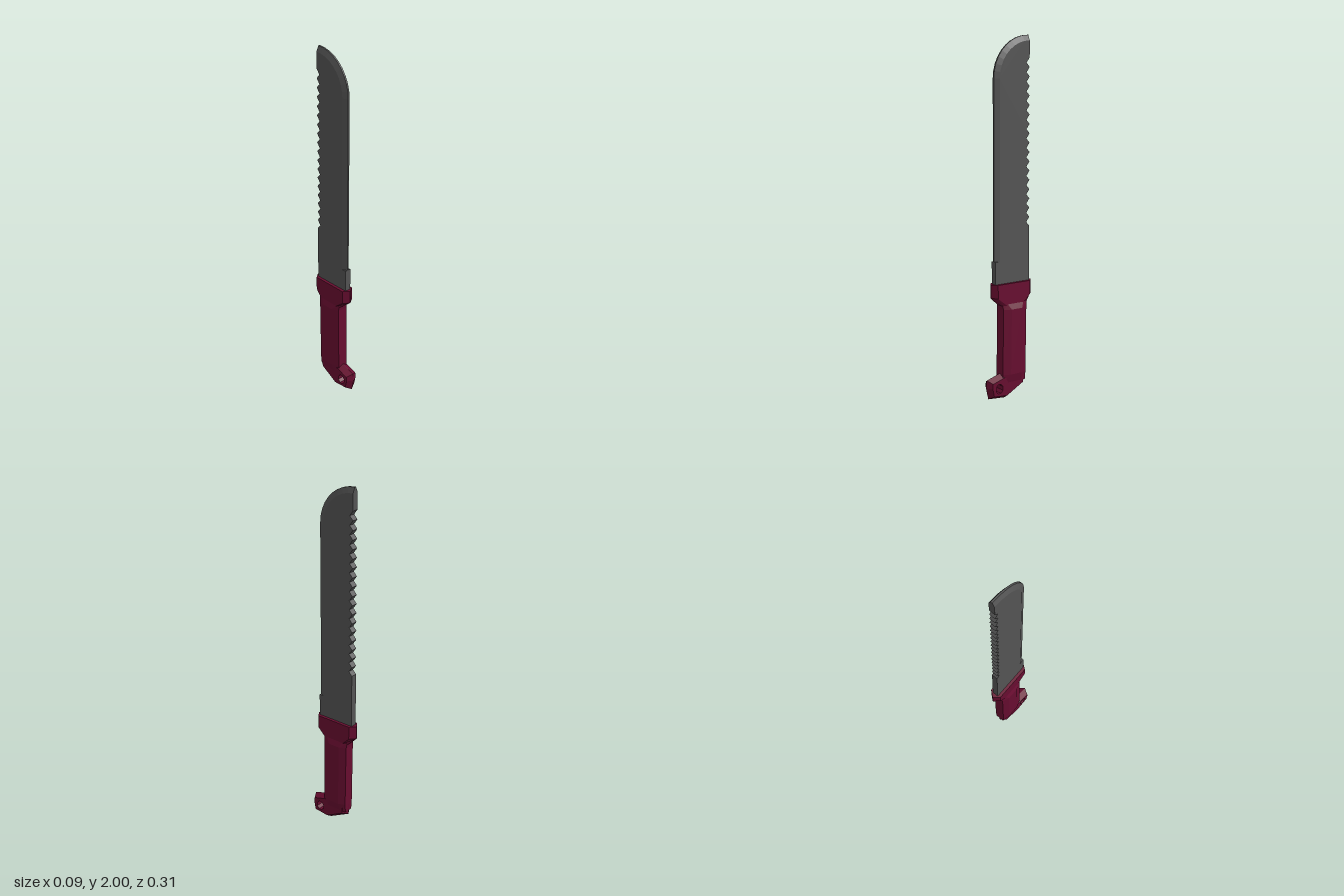
import * as THREE from 'three';

const steel = new THREE.MeshStandardMaterial({ color: 0x545454 });
steel.name = 'darkSteel';
const maroon = new THREE.MeshStandardMaterial({ color: 0x680d30 });
maroon.name = 'maroonGrip';

// Flat-shaded skin over rings of points, with fan caps at both ends
function loft(rings) {
  const pos = [];
  const tri = (...pts) => pts.forEach((p) => pos.push(...p));
  const n = rings[0].length;
  for (let i = 0; i < rings.length - 1; i++) {
    for (let j = 0; j < n; j++) {
      const k = (j + 1) % n;
      const a = rings[i][j], b = rings[i][k], c = rings[i + 1][k], d = rings[i + 1][j];
      tri(a, b, c);
      tri(a, c, d);
    }
  }
  const first = rings[0], last = rings[rings.length - 1];
  for (let j = 1; j < n - 1; j++) {
    tri(first[0], first[j + 1], first[j]);
    tri(last[0], last[j], last[j + 1]);
  }
  const g = new THREE.BufferGeometry();
  g.setAttribute('position', new THREE.Float32BufferAttribute(pos, 3));
  g.computeVertexNormals();
  return g;
}

// Extrudes a side profile given as (z, y) points, centred on x = 0
function sideExtrude(shape, depth, options = {}) {
  const g = new THREE.ExtrudeGeometry(shape, { depth, bevelEnabled: false, ...options });
  return g.translate(0, 0, -depth / 2).rotateY(-Math.PI / 2);
}

const toShape = (pts) => new THREE.Shape(pts.map(([z, y]) => new THREE.Vector2(z, y)));

export function createModel() {
  const model = new THREE.Group();
  const add = (name, geometry, material) => {
    const mesh = new THREE.Mesh(geometry, material);
    mesh.name = name;
    model.add(mesh);
    return mesh;
  };

  // Blade dimensions
  const half = 0.018, edgeHalf = 0.005, spine = -0.13, radius = 0.23, bevel = 0.03;
  const base = 0.64, edgeStart = 0.78, curveStart = 1.77, segments = 9;
  const arc = (r) => Array.from({ length: segments + 1 }, (_, i) => {
    const a = (i / segments) * Math.PI / 2;
    return [spine + r * Math.cos(a), curveStart + r * Math.sin(a)];
  });

  // Blade body with a saw-toothed spine
  const outline = [[spine, base], [spine + radius - bevel, base], ...arc(radius - bevel)];
  const teeth = 18, sawTop = 1.88, sawBottom = 0.96, pitch = (sawTop - sawBottom) / teeth;
  for (let i = 0; i < teeth; i++) {
    const y = sawTop - i * pitch;
    outline.push([spine, y], [spine + 0.021, y - pitch * 0.55]);
  }
  outline.push([spine, sawBottom]);
  add('bladeBody', sideExtrude(toShape(outline), half * 2), steel);

  // Bevelled cutting edge following the rounded tip
  const outer = [[spine + radius, edgeStart], ...arc(radius)];
  const inner = [[spine + radius - bevel, edgeStart], ...arc(radius - bevel)];
  add('cuttingEdge', loft(outer.map(([z, y], i) => {
    const [qz, qy] = inner[i];
    return [[edgeHalf, y, z], [half, qy, qz], [-half, qy, qz], [-edgeHalf, y, z]];
  })), steel);

  // Square unsharpened section above the guard
  const heel = new THREE.BoxGeometry(half * 2, edgeStart - base, bevel);
  add('bladeHeel', heel, steel)
    .position.set(0, (edgeStart + base) / 2, spine + radius - bevel / 2);

  // Eight-sided section: front and back z, end half width, side half width, chamfer lengths
  const section = (y, zf, zb, e, w, cf, cb) => [
    [e, y, zf], [w, y, zf - cf], [w, y, zb + cb], [e, y, zb],
    [-e, y, zb], [-w, y, zb + cb], [-w, y, zf - cf], [-e, y, zf],
  ];

  // Grip
  add('grip', loft([
    section(0.09, 0.058, -0.096, 0.026, 0.034, 0.03, 0.03),
    section(0.14, 0.06, -0.097, 0.03, 0.046, 0.045, 0.04),
    section(0.51, 0.055, -0.102, 0.03, 0.046, 0.045, 0.04),
    section(0.54, 0.06, -0.106, 0.026, 0.035, 0.03, 0.03),
  ]), maroon);

  // Guard flaring out from the grip, with pointed ends
  add('guard', loft([
    section(0.53, 0.056, -0.102, 0.026, 0.035, 0.025, 0.028),
    section(0.58, 0.12, -0.153, 0.002, 0.035, 0.025, 0.028),
    section(0.655, 0.12, -0.153, 0.002, 0.035, 0.025, 0.028),
  ]), maroon);

  // Hooked pommel with ridged rim and a lanyard hole
  const pommel = toShape([
    [-0.097, 0.15], [-0.097, 0.067], [0.03, 0], [0.138, 0.01],
    [0.153, 0.075], [0.148, 0.118], [0.058, 0.145],
  ]);
  const hz = 0.086, hy = 0.067;
  const hole = new THREE.Path();
  for (let i = 0; i < 8; i++) {
    const a = -((i + 0.5) / 8) * Math.PI * 2;
    hole[i ? 'lineTo' : 'moveTo'](hz + 0.01 * Math.cos(a), hy + 0.01 * Math.sin(a));
  }
  hole.closePath();
  pommel.holes.push(hole);
  const pommelGeometry = sideExtrude(pommel, 0.002, {
    bevelEnabled: true, bevelThickness: 0.034, bevelSize: 0.02, bevelOffset: -0.02, bevelSegments: 1,
  });
  // Straighten the hole walls to one radius
  const p = pommelGeometry.attributes.position;
  for (let i = 0; i < p.count; i++) {
    const dz = p.getZ(i) - hz, dy = p.getY(i) - hy, d = Math.hypot(dz, dy);
    if (d < 0.038) {
      p.setZ(i, hz + (dz / d) * 0.025);
      p.setY(i, hy + (dy / d) * 0.028);
    }
  }
  pommelGeometry.computeVertexNormals();
  add('pommel', pommelGeometry, maroon);

  return model;
}
